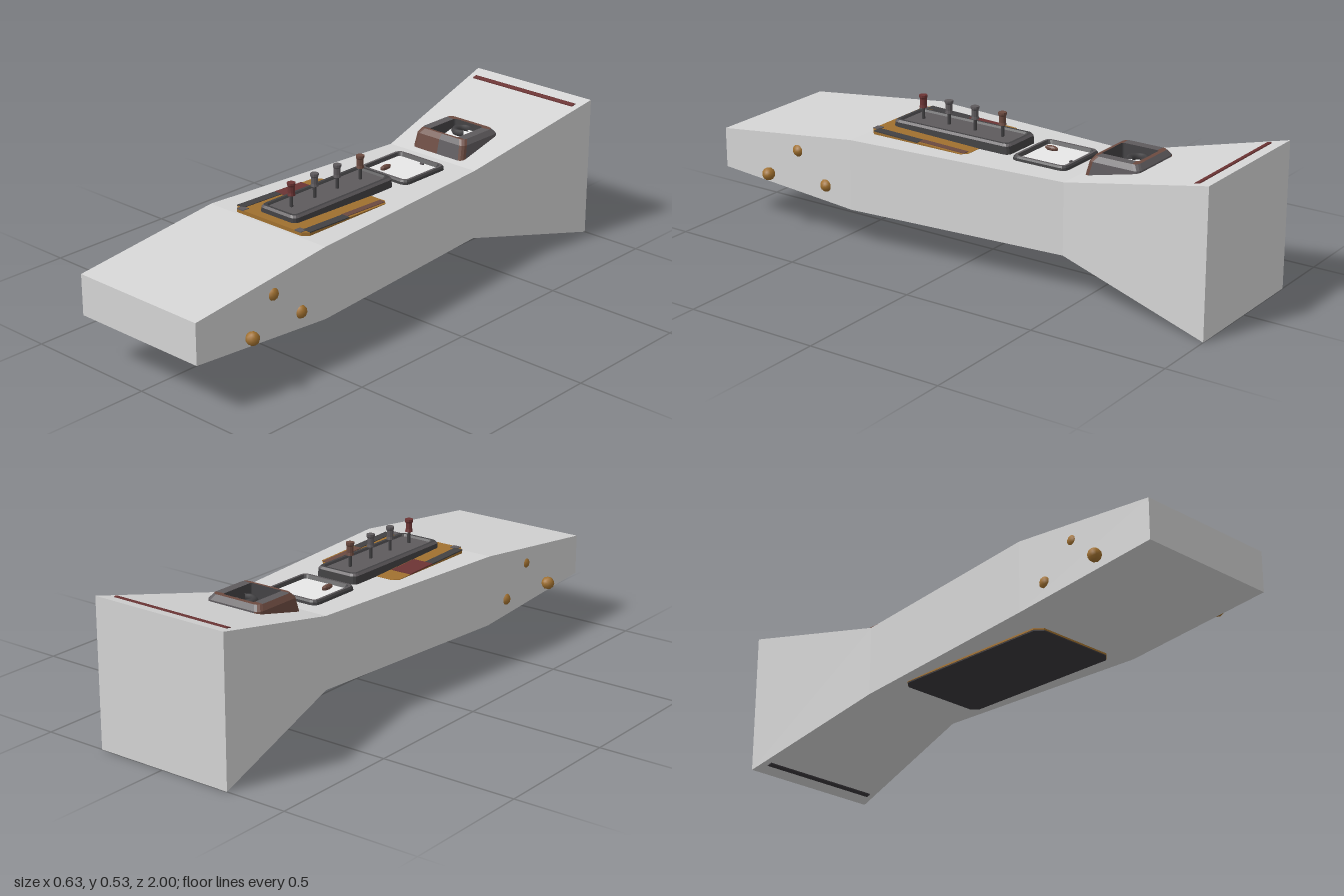
import * as THREE from 'three';

const mat = (name, color) => Object.assign(new THREE.MeshStandardMaterial({ color }), { name });
const shell = mat('light grey shell', 0xd4d4d4);
const white = mat('white inset', 0xffffff);
const grey = mat('grey plastic', 0x5e5a5d);
const dark = mat('dark trim', 0x424143);
const black = mat('black underside', 0x39363a);
const brown = mat('brown trim', 0x6b4a40);
const red = mat('dark red', 0x6c3434);
const gold = mat('gold', 0xa0702f);

function add(parent, name, geometry, material, x = 0, y = 0, z = 0) {
  const m = new THREE.Mesh(geometry, material);
  m.name = name;
  m.position.set(x, y, z);
  parent.add(m);
  return m;
}

function flat(geometry) {
  const g = geometry.index ? geometry.toNonIndexed() : geometry;
  g.computeVertexNormals();
  return g;
}

// Rounded rectangle in the xz plane, with a midpoint on the front and back edges
function outline([hw, z0, z1, y, r]) {
  const pts = [];
  const corners = [[hw - r, z1 - r], [-hw + r, z1 - r], [-hw + r, z0 + r], [hw - r, z0 + r]];
  corners.forEach(([cx, cz], k) => {
    for (let s = 0; s <= 3; s++) {
      const a = (k + s / 3) * Math.PI / 2;
      pts.push([cx + r * Math.cos(a), y, cz + r * Math.sin(a)]);
    }
    if (k === 0) pts.push([0, y, z1]);
    if (k === 2) pts.push([0, y, z0]);
  });
  return pts;
}

// Skin over a run of rounded rectangles; pick(ring, x, z) chooses the material of each face
function ringLoft(rings, pick) {
  const loops = rings.map(outline), pos = [], groups = [];
  for (let i = 0; i < loops.length - 1; i++) {
    const lo = loops[i], hi = loops[i + 1], n = lo.length;
    for (let j = 0; j < n; j++) {
      const k = (j + 1) % n;
      groups.push([pos.length / 3, pick(i, (lo[j][0] + lo[k][0]) / 2, (lo[j][2] + lo[k][2]) / 2)]);
      pos.push(...lo[j], ...hi[k], ...lo[k], ...lo[j], ...hi[j], ...hi[k]);
    }
  }
  const g = new THREE.BufferGeometry();
  g.setAttribute('position', new THREE.Float32BufferAttribute(pos, 3));
  groups.forEach(([start, m]) => g.addGroup(start, 6, m));
  g.computeVertexNormals();
  return g;
}

// Plate with chamfered corners, y from -t to 0, z from 0 to len
function plate(hw, len, t, c) {
  const s = new THREE.Shape([[-hw + c, 0], [hw - c, 0], [hw, -c], [hw, -len + c], [hw - c, -len],
    [-hw + c, -len], [-hw, -len + c], [-hw, -c]].reverse().map(p => new THREE.Vector2(...p)));
  return new THREE.ExtrudeGeometry(s, { depth: t, bevelEnabled: false })
    .rotateX(-Math.PI / 2).translate(0, -t, 0);
}

export function createModel() {
  const root = new THREE.Group();
  root.name = 'console';
  const main = new THREE.Group();
  main.name = 'consoleBody';
  main.position.x = -0.003;
  root.add(main);

  // Shell: four sections from back to front [z, half width, bottom, top]
  const sections = [[-1, 0.268, 0, 0.527], [-0.42, 0.198, 0.138, 0.397],
    [0.42, 0.268, 0.138, 0.397], [1, 0.268, 0.182, 0.329]];
  const box = new THREE.BoxGeometry(2, 2, 3, 1, 1, 3);
  const p = box.attributes.position;
  for (let i = 0; i < p.count; i++) {
    const [z, hw, lo, hi] = sections[Math.round(p.getZ(i) + 1.5)];
    p.setXYZ(i, p.getX(i) * hw, p.getY(i) < 0 ? lo : hi, z);
  }
  add(main, 'shell', flat(box), shell);

  // Gold trim plate, tilted so that it sinks into the shell at z = 0
  const trim = new THREE.Group();
  trim.name = 'trimPlate';
  trim.position.y = 0.398;
  trim.rotation.x = -0.03;
  main.add(trim);
  add(trim, 'goldPlate', plate(0.17, 0.41, 0.025, 0.02), gold);
  const strip = (name, m, x0, x1, z0, z1) => add(trim, name,
    new THREE.BoxGeometry(x1 - x0, 0.004, z1 - z0), m, (x0 + x1) / 2, 0, (z0 + z1) / 2);
  strip('redPatch', red, -0.171, -0.09, 0.08, 0.21);
  strip('leftEdge', dark, -0.171, -0.138, 0.21, 0.39);
  strip('rightEdge', dark, 0.138, 0.171, 0.2, 0.39);
  strip('rightBackEdge', brown, 0.135, 0.16, 0.01, 0.2);
  strip('leftCorner', grey, -0.15, -0.12, 0.385, 0.411);
  strip('rightCorner', grey, 0.12, 0.15, 0.385, 0.411);

  // Underside panel, tilted the other way
  const under = new THREE.Group();
  under.name = 'undersidePanel';
  under.position.set(0, 0.137, -0.27);
  under.rotation.x = 0.0265;
  main.add(under);
  add(under, 'undersideRim', plate(0.172, 0.68, 0.006, 0.025).translate(0, 0.006, 0), gold);
  add(under, 'undersideCover', plate(0.17, 0.679, 0.004, 0.025), black);

  // Lever console: raised rim around a recessed floor
  add(main, 'leverRim', ringLoft([
    [0.086, -0.122, 0.375, 0.39, 0.02], [0.084, -0.12, 0.373, 0.425, 0.02],
    [0.078, -0.114, 0.367, 0.433, 0.018], [0.068, -0.104, 0.357, 0.433, 0.014],
    [0.062, -0.098, 0.35, 0.424, 0.01]], i => (i === 1 ? 1 : 0)), [dark, grey]);
  add(main, 'leverFloor', new THREE.BoxGeometry(0.13, 0.03, 0.455), grey, 0, 0.411, 0.126);

  // Levers
  [0.302, 0.19, 0.078, -0.038].forEach((z, i) => {
    const lever = new THREE.Group();
    lever.name = 'lever';
    lever.position.set(0, 0, z);
    main.add(lever);
    add(lever, 'stick', new THREE.CylinderGeometry(0.006, 0.006, 0.06, 8), dark, 0, 0.45, 0);
    const profile = [[0, 0.468], [0.014, 0.468], [0.012, 0.478], [0.012, 0.5], [0.015, 0.506],
      [0.015, 0.514], [0, 0.514]].map(q => new THREE.Vector2(...q));
    add(lever, 'knob', flat(new THREE.LatheGeometry(profile, 10)), i === 0 ? red : i === 3 ? brown : grey);
  });

  // Square frame with a white inset and a small lever
  add(main, 'squareFrame', ringLoft([
    [0.114, -0.37, -0.147, 0.39, 0.025], [0.112, -0.368, -0.149, 0.406, 0.025],
    [0.107, -0.363, -0.154, 0.412, 0.022], [0.098, -0.354, -0.163, 0.412, 0.016],
    [0.091, -0.346, -0.171, 0.398, 0.012]], i => (i === 2 ? 1 : 0)), [dark, grey]);
  add(main, 'squareInset', new THREE.BoxGeometry(0.186, 0.004, 0.18), white, 0, 0.398, -0.2585);
  add(main, 'smallLever', flat(new THREE.SphereGeometry(1, 8, 5)), brown, -0.04, 0.407, -0.215)
    .scale.set(0.011, 0.01, 0.028);
  add(main, 'smallPin', new THREE.BoxGeometry(0.014, 0.006, 0.006), grey, 0.025, 0.402, -0.335);

  // Hooded holder on the rear slope
  const slope = Math.atan(0.13 / 0.58);
  add(main, 'hood', ringLoft([
    [0.12, -0.66, -0.442, 0.39, 0.02], [0.113, -0.654, -0.458, 0.455, 0.02],
    [0.1, -0.64, -0.472, 0.473, 0.02], [0.066, -0.624, -0.482, 0.473, 0.008],
    [0.062, -0.62, -0.486, 0.4, 0.006]], (i, x, z) => {
    if (i === 3) return 2;
    const end = z > -0.48 || z < -0.62;
    if (i === 2) return end ? 1 : 0;
    return (z > -0.48 && (x < 0 || x > 0.095)) || x < -0.1 ? 1 : 0;
  }), [grey, brown, dark]);
  add(main, 'hoodInset', new THREE.BoxGeometry(0.126, 0.004, 0.146), white, 0, 0.428, -0.553)
    .rotation.x = slope;
  const hook = add(main, 'hook', new THREE.TorusGeometry(0.03, 0.012, 6, 14, Math.PI * 1.5), dark, 0.003, 0.455, -0.585);
  hook.rotation.set(-Math.PI / 2, 0, Math.PI / 4);

  // Narrow slots near the back, above and below
  const slot = () => new THREE.CylinderGeometry(0.012, 0.012, 0.47, 6).rotateZ(Math.PI / 2).scale(1, 0.3, 1);
  add(main, 'topSlot', slot(), red, 0, 0.5145, -0.94).rotation.x = slope;
  add(main, 'bottomSlot', slot(), black, 0, 0.0135, -0.94).rotation.x = -Math.atan(0.138 / 0.58);

  // Gold studs on both sides
  for (const side of [-1, 1]) {
    for (const [x, y, z] of [[0.289, 0.205, 0.78], [0.26, 0.205, 0.535], [0.256, 0.31, 0.66]]) {
      add(root, 'stud', new THREE.IcosahedronGeometry(0.024, 1), gold, side * x, y, z);
    }
  }
  return root;
}
